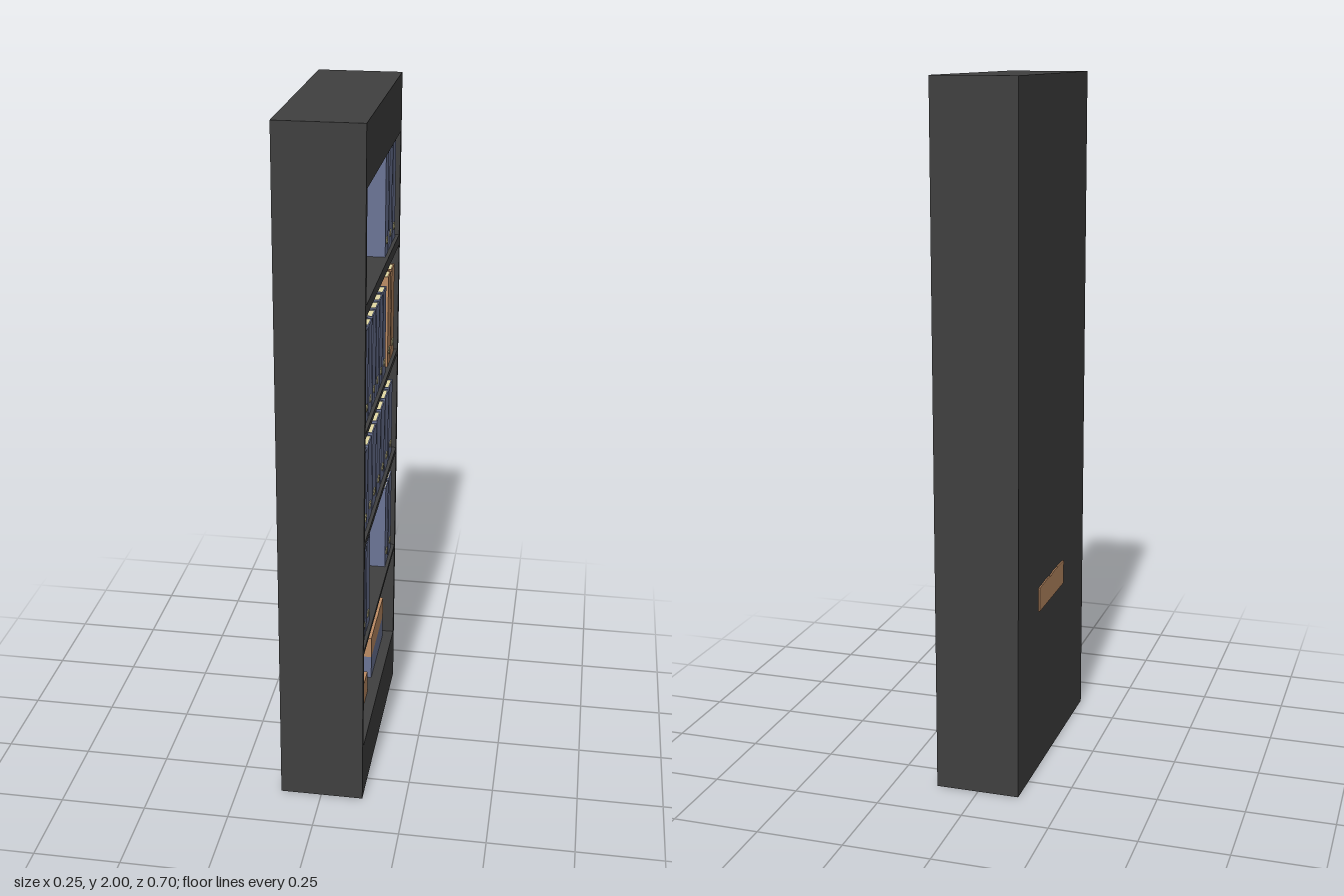
import * as THREE from 'three';

const paint = (color) => new THREE.MeshStandardMaterial({ color, flatShading: true });

export function createModel() {
  const model = new THREE.Group();
  model.name = 'bookcase';
  const dark = paint(0x404040), blue = paint(0x6c7596), orange = paint(0xbd8c64), cream = paint(0xe2d9a4);

  const add = (parent, name, geometry, material, x = 0, y = 0, z = 0) => {
    const mesh = new THREE.Mesh(geometry, material);
    mesh.name = name;
    mesh.position.set(x, y, z);
    parent.add(mesh);
    return mesh;
  };
  const box = (parent, name, material, x0, x1, y0, y1, z0, z1) =>
    add(parent, name, new THREE.BoxGeometry(x1 - x0, y1 - y0, z1 - z0), material,
      (x0 + x1) / 2, (y0 + y1) / 2, (z0 + z1) / 2);
  const rect = (Type, w, y0, y1) => new Type([[-w, y0], [w, y0], [w, y1], [-w, y1]]
    .map(([x, y]) => new THREE.Vector2(x, y)));
  // Extrude a (-z, y) outline along +x
  const extrudeX = (shape, depth) =>
    new THREE.ExtrudeGeometry(shape, { depth, bevelEnabled: false }).rotateY(Math.PI / 2);

  // Carcass: one frame with five compartments, open towards +x
  const floors = [0.172, 0.495, 0.837, 1.165, 1.526];
  const ceilings = [0.482, 0.821, 1.149, 1.494, 1.833];
  const frame = rect(THREE.Shape, 0.352, 0, 2);
  floors.forEach((y, i) => frame.holes.push(rect(THREE.Path, 0.333, y, ceilings[i])));
  add(model, 'carcass', extrudeX(frame, 0.239), dark, -0.116);
  box(model, 'backPanel', dark, -0.12, -0.116, 0, 2, -0.352, 0.352);

  // Upright binder: spine, two cover boards, page block and oval label
  const binder = (shelf, z, width, top, material) => {
    const g = new THREE.Group();
    g.name = 'binder';
    const y0 = floors[shelf], y1 = top, x0 = -0.113, x1 = 0.113, h = width / 2, t = 0.004;
    box(g, 'spine', material, x1 - t, x1, y0, y1, -h, h);
    for (const s of [-1, 1]) {
      const c = s * (h - t / 2);
      box(g, 'coverBoard', material, x0, x1 - t, y0, y1, c - t / 2, c + t / 2);
    }
    box(g, 'pages', cream, x0 + 0.003, x1 - t, y0 + 0.003, y1 - 0.002, -h + t, h - t);
    const label = add(g, 'label', new THREE.CylinderGeometry(1, 1, 1, 12).rotateZ(-Math.PI / 2),
      cream, x1, y0 + 0.042, 0);
    label.scale.set(0.004, 0.011, width * 0.25);
    g.position.z = z;
    model.add(g);
  };
  const row = (shelf, count, firstZ, pitch, width, top, material) => {
    for (let i = 0; i < count; i++) binder(shelf, firstZ - i * pitch, width, top, material);
  };
  row(4, 3, -0.127, 0.076, 0.061, 1.817, blue);
  row(3, 6, 0.254, 0.071, 0.058, 1.43, blue);
  row(3, 2, -0.207, 0.074, 0.061, 1.443, orange);
  row(2, 7, 0.262, 0.0878, 0.073, 1.078, blue);
  row(1, 2, 0.268, 0.074, 0.063, 0.779, blue);
  row(1, 2, -0.207, 0.074, 0.061, 0.766, blue);

  // Low cartons with a slightly uneven top edge
  const carton = (material, frontX, y0, y1, z) => {
    const w = 0.131, h = y1 - y0;
    const outline = [[-w, 0], [w, 0], [w, h - 0.003], [0.08, h - 0.002], [0.05, h],
      [0.01, h - 0.004], [-0.02, h], [-0.08, h - 0.001], [-w, h - 0.003]];
    const shape = new THREE.Shape(outline.map(([x, y]) => new THREE.Vector2(x, y)));
    add(model, 'carton', extrudeX(shape, 0.14), material, frontX - 0.14, y0, z);
  };
  carton(orange, 0.057, 1.526, 1.594, 0.137);
  carton(orange, 0.016, 0.487, 0.561, -0.02);
  carton(orange, 0.092, 0.172, 0.248, 0.176);
  carton(blue, 0.092, 0.172, 0.25, -0.171);
  carton(orange, 0.092, 0.246, 0.316, -0.171);

  return model;
}
